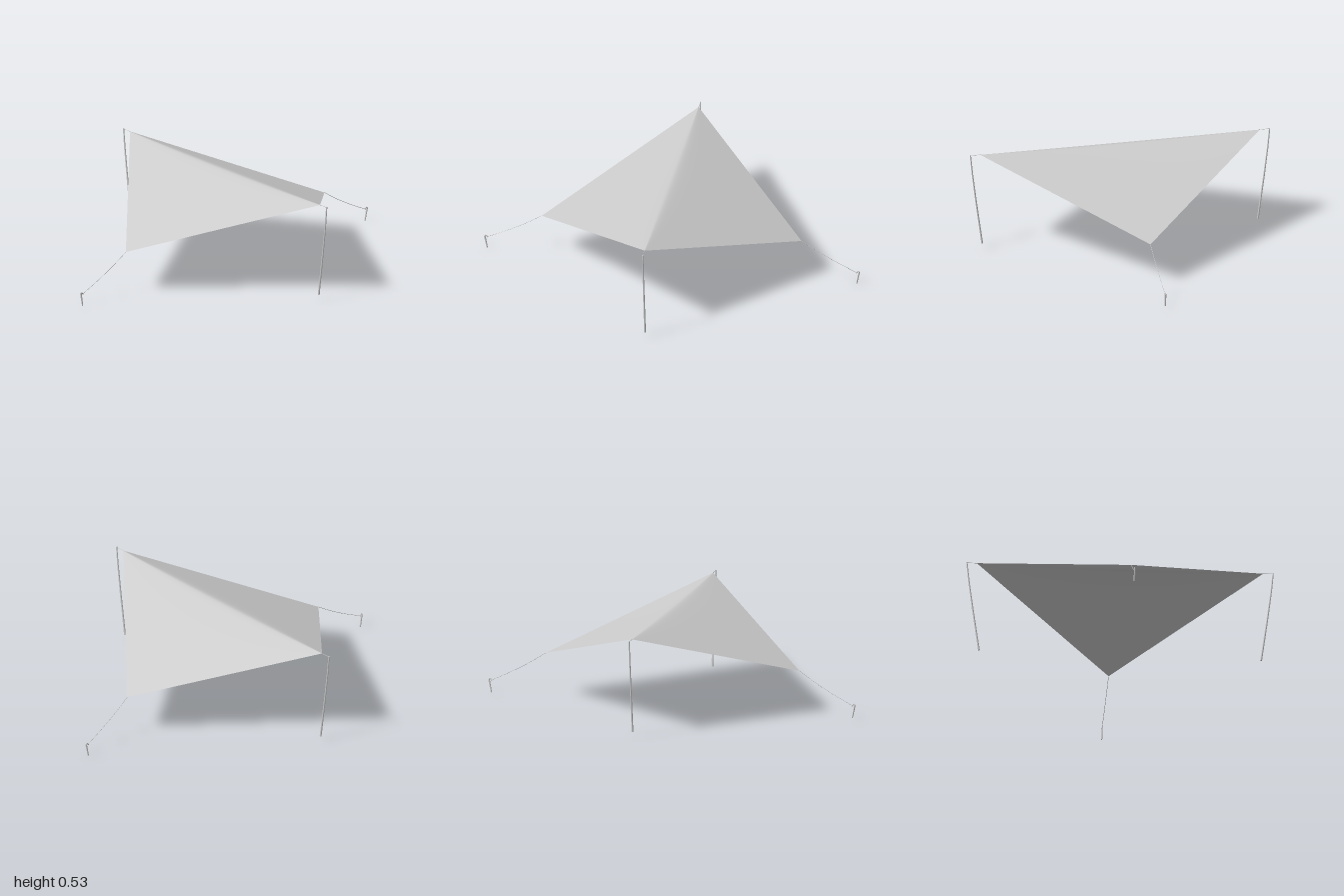
import * as THREE from 'three';

const v = (x, y, z) => new THREE.Vector3(x, y, z);
const RIDGE = 0.53, HALF_X = 0.69, HALF_Z = 0.75, SLOPE = 0.3 / HALF_X;

export function createModel() {
  const group = new THREE.Group();
  const material = new THREE.MeshStandardMaterial({ color: 0xcccccc });
  const cloth = new THREE.MeshStandardMaterial({ color: 0xcccccc, side: THREE.DoubleSide });

  const add = (name, geometry, mat = material) => {
    const mesh = new THREE.Mesh(geometry, mat);
    mesh.name = name;
    group.add(mesh);
  };
  const tube = (name, points, radius, segments = 16) =>
    add(name, new THREE.TubeGeometry(new THREE.CatmullRomCurve3(points), segments, radius, 8));
  // solid rod between two points
  const rod = (name, a, b, rTop, rBottom) => {
    const dir = b.clone().sub(a);
    const geometry = new THREE.CylinderGeometry(rTop, rBottom, dir.length(), 10);
    geometry.applyQuaternion(new THREE.Quaternion().setFromUnitVectors(v(0, 1, 0), dir.normalize()));
    geometry.translate(...a.clone().add(b).multiplyScalar(0.5).toArray());
    add(name, geometry);
  };

  // diamond tarp: two flat slopes with a softly rounded, slightly sagging ridge
  const tarp = new THREE.PlaneGeometry(2, 2, 40, 40).rotateX(-Math.PI / 2);
  const p = tarp.attributes.position;
  for (let i = 0; i < p.count; i++) {
    const s = p.getX(i) * Math.abs(p.getX(i));
    const x = HALF_X * s;
    const z = HALF_Z * (1 - Math.abs(s)) * p.getZ(i);
    const round = 0.022 * (1 - (z / HALF_Z) ** 2) * (1 - Math.abs(s));
    p.setXYZ(i, x, RIDGE - SLOPE * Math.hypot(x, round), z);
  }
  tarp.computeVertexNormals();
  add('tarp', tarp, cloth);

  // leaning, slightly bent poles with their ridge ties
  for (const [side, k] of [['front', 1], ['back', -1]]) {
    const bend = [v(0, 0.03, 0.739 * k), v(0, 0.27, 0.772 * k), v(0, 0.43, 0.792 * k), v(0, 0.533, 0.802 * k)];
    for (let i = 0; i < 3; i++) {
      rod(side + 'Pole', bend[i], bend[i + 1], 0.0045 - i * 0.0005, 0.005 - i * 0.0005);
    }
    tube(side + 'RidgeTie', [v(0, RIDGE, 0.745 * k), v(0, RIDGE + 0.001, 0.802 * k)], 0.0012, 4);
  }

  // side guy ropes and hooked ground pegs
  for (const [side, k] of [['left', 1], ['right', -1]]) {
    tube(side + 'GuyRope', [
      v(HALF_X * k, 0.23, 0), v(0.78 * k, 0.172, -0.003),
      v(0.88 * k, 0.116, -0.006), v(0.985 * k, 0.064, -0.009),
    ], 0.0012);
    rod(side + 'Peg', v(0.981 * k, 0, -0.011), v(0.995 * k, 0.072, -0.009), 0.0045, 0.0035);
    tube(side + 'PegHook', [
      v(0.995 * k, 0.07, -0.009), v(0.99 * k, 0.074, -0.009), v(0.978 * k, 0.063, -0.01),
    ], 0.003, 8);
  }
  return group;
}
